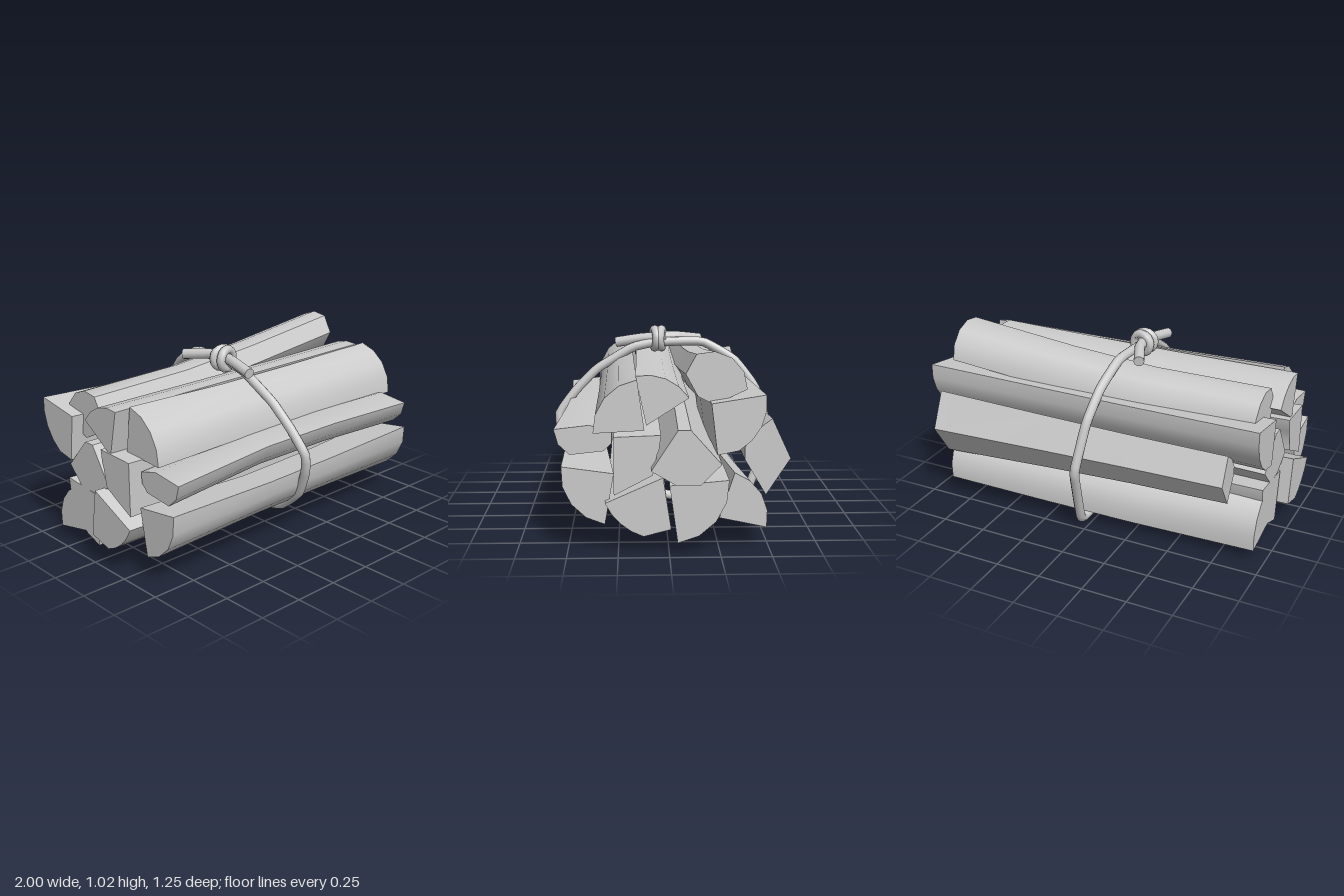
import * as THREE from 'three';
import { toCreasedNormals } from 'three/addons/utils/BufferGeometryUtils.js';

const material = new THREE.MeshStandardMaterial({ color: 0xcccccc });

// A split log: a bark arc of radius r around (z, y) between two angles, closed by the split
// corners, swept along x. Options: split = corners after the arc (else the arc's center),
// facets = arc steps, drift = [dz, dy] of the -x end, bend = [dz, dy] and pinch of the waist,
// taper = size of the -x end.
function splitLog(name, [z, y], r, [from, to], [x0, x1], options = {}) {
  const { split = [[z, y]], facets = 4, drift = [0, 0], bend = [0, 0], pinch = 0.05, taper = 1 } = options;
  const loop = [];
  for (let i = 0; i <= facets; i++) {
    const a = THREE.MathUtils.degToRad(from + (to - from) * i / facets);
    loop.push(new THREE.Vector2(z + r * Math.cos(a), y + r * Math.sin(a)));
  }
  for (const corner of split) loop.push(new THREE.Vector2(...corner));
  const n = loop.length;
  const center = loop.reduce((sum, p) => sum.add(p), new THREE.Vector2()).divideScalar(n);
  const pos = [], index = [];
  for (const [x, waist] of [[x0, 0], [-0.25, 1], [0.25, 0.8], [x1, 0]]) {
    const t = (x1 - x) / (x1 - x0);
    const scale = (1 + (taper - 1) * t) * (1 - pinch * waist);
    for (const p of loop) {
      pos.push(x,
        center.y + (p.y - center.y) * scale + drift[1] * t + bend[1] * waist,
        center.x + (p.x - center.x) * scale + drift[0] * t + bend[0] * waist);
    }
  }
  // Sides between neighbouring stations
  for (let s = 0; s < 3; s++) {
    for (let i = 0; i < n; i++) {
      const a = s * n + i, b = s * n + (i + 1) % n;
      index.push(a, b + n, b, a, a + n, b + n);
    }
  }
  // Sawn ends
  const last = 3 * n;
  for (let i = 1; i < n - 1; i++) index.push(0, i, i + 1, last, last + i + 1, last + i);
  const geometry = new THREE.BufferGeometry();
  geometry.setAttribute('position', new THREE.Float32BufferAttribute(pos, 3));
  geometry.setIndex(index);
  const mesh = new THREE.Mesh(toCreasedNormals(geometry, 0.75), material);
  mesh.name = name;
  return mesh;
}

// A smooth rope strand through some points.
function strand(name, points, radius, closed) {
  const path = new THREE.CatmullRomCurve3(points, closed, 'catmullrom', 0.2);
  const mesh = new THREE.Mesh(new THREE.TubeGeometry(path, points.length * 5, radius, 10, closed), material);
  mesh.name = name;
  return mesh;
}

// A loose rope end: a strand with a flat cut at its tip.
function tail(name, points) {
  const group = new THREE.Group();
  group.name = name;
  const path = points.map((p) => new THREE.Vector3(...p));
  const tip = path[path.length - 1];
  const cut = new THREE.Mesh(new THREE.CircleGeometry(0.029, 10), material);
  cut.name = 'cutEnd';
  cut.position.copy(tip);
  const out = tip.clone().sub(path[path.length - 2]).normalize();
  cut.quaternion.setFromUnitVectors(new THREE.Vector3(0, 0, 1), out);
  group.add(strand('tailStrand', path, 0.029, false), cut);
  return group;
}

export function createModel() {
  const model = new THREE.Group();
  model.name = 'firewoodBundle';

  // Upper logs
  model.add(
    splitLog('topFrontLog', [0.12, 0.61], 0.25, [-3, 82], [-0.87, 0.91], { drift: [0.02, 0.02], pinch: 0.08 }),
    splitLog('topLog', [0.11, 0.62], 0.25, [78, 147], [-0.95, 0.84]),
    splitLog('topBackLog', [-0.2, 0.81], 0.18, [68, 182], [-0.89, 0.88],
      { split: [[-0.22, 0.73], [-0.14, 0.77], [-0.08, 0.88]], drift: [0.04, -0.11], bend: [0, -0.03] }),
    splitLog('upperBackLog', [-0.2, 0.75], 0.265, [171, 240], [-0.96, 0.97],
      { split: [[-0.23, 0.5], [-0.2, 0.75]], bend: [0.03, -0.015] }),
  );
  // Middle logs
  model.add(
    splitLog('backLog', [-0.37, 0.48], 0.225, [126, 242], [-0.8, 0.89],
      { split: [[-0.37, 0.46], [-0.37, 0.52], [-0.42, 0.6]], facets: 2, drift: [0.04, 0], taper: 0.75 }),
    splitLog('coreLog', [-0.07, 0.45], 0.18, [80, 100], [-0.94, 1],
      { split: [[-0.25, 0.46], [-0.15, 0.36], [-0.03, 0.36], [0.09, 0.43]], facets: 1, drift: [-0.02, 0] }),
    splitLog('innerFrontLog', [0.27, 0.58], 0.23, [178, 215], [-0.96, 0.92],
      { split: [[0.08, 0.39], [0.27, 0.29], [0.27, 0.58]], facets: 2, drift: [0, 0.05] }),
    splitLog('frontLog', [0.42, 0.6], 0.145, [-62, 0], [-0.89, 0.82],
      { split: [[0.39, 0.62], [0.28, 0.59], [0.28, 0.53], [0.32, 0.49]], facets: 2, drift: [0, -0.02], bend: [-0.03, 0.02] }),
  );
  // Lower logs
  model.add(
    splitLog('lowerFrontLog', [0.27, 0.39], 0.26, [-80, 8], [-0.92, 0.88],
      { drift: [0.03, 0], bend: [0.02, 0.01], pinch: 0.18 }),
    splitLog('bottomFrontLog', [0.03, 0.38], 0.31, [-72, -24], [-1, 0.93],
      { split: [[0.03, 0.38], [-0.01, 0.12]], drift: [0, 0.04] }),
    splitLog('bottomLog', [0, 0.35], 0.29, [175, 262], [-0.94, 0.97]),
    splitLog('bottomBackLog', [-0.25, 0.16], 0.24, [108, 192], [-0.94, 0.87], { drift: [0.1, -0.05], bend: [0, -0.02] }),
  );

  // Rope around the waist, leaning towards -x as it rises
  const loop = [
    [0.04, 0.92], [0.18, 0.89], [0.38, 0.77], [0.5, 0.65], [0.595, 0.52], [0.58, 0.41],
    [0.51, 0.26], [0.35, 0.13], [0.06, 0.07], [-0.22, 0.028], [-0.43, 0.028], [-0.475, 0.07],
    [-0.595, 0.38], [-0.595, 0.44], [-0.52, 0.67], [-0.4, 0.825], [-0.22, 0.925],
  ].map(([z, y]) => new THREE.Vector3(0.045 - y * (0.145 + 0.05 * z), y, z));
  model.add(strand('bindingRope', loop, 0.026, true));

  // Knot: two tilted wraps
  for (const side of [-1, 1]) {
    const wrap = new THREE.Mesh(new THREE.TorusGeometry(0.052, 0.025, 8, 16), material);
    wrap.name = 'knotWrap';
    wrap.position.set(-0.105, 0.94, 0.03 + side * 0.019);
    wrap.rotation.y = side * 0.2;
    model.add(wrap);
  }

  // Loose rope ends
  model.add(
    tail('frontTail', [[-0.09, 0.95, -0.02], [-0.12, 0.94, 0.12], [-0.145, 0.915, 0.27]]),
    tail('backTail', [[-0.1, 0.95, 0.07], [-0.13, 0.95, -0.07], [-0.19, 0.93, -0.21]]),
  );
  return model;
}
